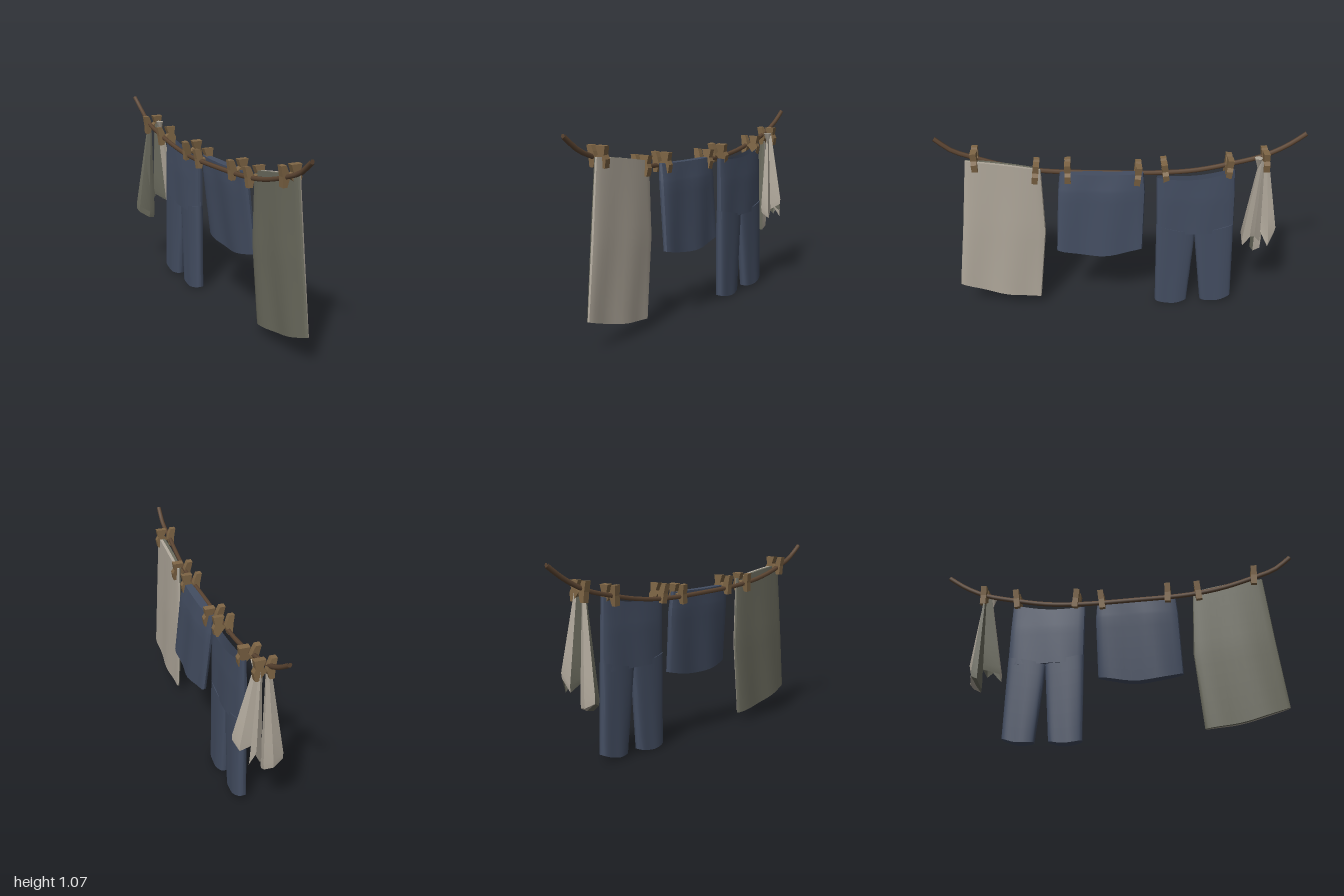
import * as THREE from 'three';
import { toCreasedNormals } from 'three/addons/utils/BufferGeometryUtils.js';

const material = (name, color, side = THREE.FrontSide) =>
  new THREE.MeshStandardMaterial({ name, color, side });

export function createModel() {
  const model = new THREE.Group();
  model.name = 'clothesline';
  const linen = material('light linen', 0xb0a89b);
  const lining = material('olive grey lining', 0x6a6a5d);
  const navy = material('navy cloth', 0x434d61, THREE.DoubleSide);
  const wood = material('peg wood', 0x7e6545);
  const hemp = material('rope brown', 0x5c4532);

  const add = (parent, name, geometry, mat) => {
    const mesh = new THREE.Mesh(geometry, mat);
    mesh.name = name;
    parent.add(mesh);
    return mesh;
  };

  // Skin a stack of equally long point rows, top row first
  const loft = (rows, flip = false, crease = 0.8) => {
    const n = rows[0].length, index = [];
    for (let j = 0; j < rows.length - 1; j++) {
      for (let i = 0; i < n - 1; i++) {
        const a = j * n + i, b = a + 1, c = a + n, d = c + 1;
        if (flip) index.push(a, d, c, a, b, d);
        else index.push(a, c, d, a, d, b);
      }
    }
    const g = new THREE.BufferGeometry();
    g.setAttribute('position', new THREE.Float32BufferAttribute(rows.flat(2), 3));
    g.setIndex(index);
    return toCreasedNormals(g, crease);
  };

  // Hanging cloth: rows of [z left, y left, z right, y right, x, half thickness, sag]
  const fabric = (name, keys, front, back, fold = 0.006, openTop = false) => {
    const group = new THREE.Group();
    group.name = name;
    const rows = [];
    if (!openTop) rows.push([...keys[0].slice(0, 5), 0, keys[0][6]]);
    const steps = 6;
    keys.forEach((k, j) => {
      if (j === keys.length - 1) return rows.push(k);
      for (let s = 0; s < steps; s++) {
        rows.push(k.map((v, m) => THREE.MathUtils.lerp(v, keys[j + 1][m], s / steps)));
      }
    });
    const last = keys[keys.length - 1];
    rows.push([...last.slice(0, 5), 0, last[6]]);
    const half = (side) => rows.map(([zl, yl, zr, yr, x, t, sag], r) => {
      const row = [];
      for (let i = 0; i <= 16; i++) {
        const a = Math.PI * (side > 0 ? i / 16 : 1 - i / 16);
        const u = 0.5 - 0.5 * Math.cos(a);
        const swell = Math.pow(Math.abs(Math.sin(a)), 0.5);
        const wave = fold * (r / rows.length) * Math.sin(u * 11 + r * 0.12);
        row.push([
          x + side * t * swell + wave,
          THREE.MathUtils.lerp(yl, yr, u) - sag * Math.sin(Math.PI * u),
          THREE.MathUtils.lerp(zl, zr, u),
        ]);
      }
      return row;
    });
    add(group, name + 'Front', loft(half(1)), front);
    add(group, name + 'Back', loft(half(-1)), back);
    model.add(group);
  };

  // Rope
  const ropePoints = [
    [1.06, 1], [0.99, 0.91], [0.945, 0.8], [0.89, 0.62], [0.857, 0.42], [0.838, 0.1],
    [0.83, -0.2], [0.843, -0.4], [0.878, -0.6], [0.92, -0.77], [0.985, -0.9], [1.05, -0.995],
  ].map(([y, z], i) => new THREE.Vector3(-0.035 + 0.003 * Math.sin(i * 2), y, z));
  const ropeCurve = new THREE.CatmullRomCurve3(ropePoints);
  add(model, 'rope', new THREE.TubeGeometry(ropeCurve, 40, 0.013, 6), hemp);
  for (const [i, turn] of [[0, -1], [ropePoints.length - 1, 1]]) {
    const end = add(model, 'ropeEnd', new THREE.CircleGeometry(0.013, 6), hemp);
    end.position.copy(ropePoints[i]);
    end.rotation.y = turn < 0 ? 0 : Math.PI;
  }

  // Towel
  fabric('towel', [
    [0.84, 0.952, 0.44, 0.89, 0.012, 0.018, -0.005],
    [0.885, 0.56, 0.43, 0.5, 0.015, 0.022, 0],
    [0.935, 0.165, 0.475, 0.06, 0.02, 0.016, 0.018],
  ], linen, lining);

  // Skirt
  fabric('skirt', [
    [0.34, 0.865, -0.115, 0.855, 0.008, 0.024, 0.004],
    [0.352, 0.76, -0.123, 0.75, 0.02, 0.032, 0],
    [0.37, 0.405, -0.11, 0.4, 0.052, 0.026, 0.036],
  ], navy, navy, 0.008);

  // Trousers: open waist and hips, then two legs
  fabric('trouserHips', [
    [-0.185, 0.835, -0.612, 0.868, 0.02, 0.026, 0.028],
    [-0.187, 0.7, -0.62, 0.7, 0.02, 0.032, 0],
    [-0.19, 0.48, -0.625, 0.48, 0.02, 0.033, 0],
  ], navy, navy, 0.004, true);
  fabric('leftLeg', [
    [-0.189, 0.53, -0.41, 0.48, 0.02, 0.032, 0],
    [-0.19, 0.02, -0.377, 0.02, 0.02, 0.033, 0.016],
  ], navy, navy, 0.002);
  fabric('rightLeg', [
    [-0.404, 0.48, -0.624, 0.53, 0.02, 0.032, 0],
    [-0.455, 0.02, -0.636, 0.045, 0.02, 0.033, 0.016],
  ], navy, navy, 0.002);

  // Gathered cloth: pleats fan out from a pinched top to a bottom outline
  const pleats = (bottom, [ax, ay, az], capped) => {
    const n = bottom.length;
    const mean = [0, 1, 2].map((k) => bottom.reduce((s, p) => s + p[k], 0) / n);
    const top = bottom.map(([x, , z]) =>
      [ax + (x - mean[0]) * 0.25, ay, az + (z - mean[2]) * 0.25]);
    const rows = [0, 0.3, 0.65, 0.93, 1].map((v, r) => bottom.map((p, i) => {
      const q = p.map((c, k) => THREE.MathUtils.lerp(top[i][k], c, v));
      if (r === 4) { q[0] -= (p[0] - mean[0]) * 0.1; q[2] -= (p[2] - mean[2]) * 0.1; }
      return q;
    }));
    if (capped) rows.push(bottom.map(() => mean));
    return rows;
  };
  const part = (rows, from, to) => rows.map((r) => r.slice(from, to));
  const gathered = new THREE.Group();
  gathered.name = 'gatheredCloth';
  model.add(gathered);

  const skirtEdge = [
    [0.02, 0.44, -0.665], [0.075, 0.41, -0.665], [0.06, 0.46, -0.715], [0.13, 0.5, -0.725],
    [0.1, 0.45, -0.765], [0.03, 0.48, -0.78], [0.07, 0.4, -0.825], [0.05, 0.48, -0.865],
    [0.01, 0.41, -0.84], [-0.015, 0.46, -0.77], [0.02, 0.44, -0.665],
  ];
  const fan = pleats(skirtEdge, [0.012, 0.92, -0.765], false);
  add(gathered, 'outerPleats', loft(part(fan, 0, 9), false, 0.5), linen);
  add(gathered, 'rearPleats', loft(part(fan, 8, 11), false, 0.5), lining);
  add(gathered, 'innerPleats', loft(fan, true, 0.5), lining);

  const tailEdge = [
    [-0.02, 0.31, -0.757], [-0.02, 0.33, -0.8], [-0.07, 0.34, -0.815], [-0.133, 0.37, -0.795],
    [-0.125, 0.355, -0.76], [-0.06, 0.315, -0.745], [-0.02, 0.31, -0.757],
  ];
  const tail = pleats(tailEdge, [-0.035, 0.88, -0.772], true);
  add(gathered, 'rearTail', loft(part(tail, 0, 4), false, 0.5), linen);
  add(gathered, 'rearTailLining', loft(part(tail, 3, 7), false, 0.5), lining);

  // Loose corner above the pinch
  const corner = add(gathered, 'looseCorner', new THREE.ConeGeometry(0.024, 0.07, 5), linen);
  corner.position.set(0.018, 0.9, -0.735);
  corner.rotation.x = Math.PI;

  // Clothes pegs: two splayed wooden jaws clamped over rope and cloth
  const jawGeometry = (outline) => {
    const shape = new THREE.Shape(outline.map(([x, y]) => new THREE.Vector2(x, y)));
    return new THREE.ExtrudeGeometry(shape, { depth: 0.033, bevelEnabled: false })
      .translate(0, 0, -0.0165);
  };
  const outerJaw = jawGeometry([
    [-0.058, -0.054], [-0.034, -0.054], [-0.02, -0.01], [-0.03, 0.025], [-0.042, 0.054],
    [-0.072, 0.054], [-0.062, 0.0],
  ]);
  const innerJaw = jawGeometry([
    [0.022, -0.054], [0.04, -0.054], [0.048, -0.01], [0.037, 0.01], [0.045, 0.054],
    [-0.015, 0.054], [0.0, 0.012], [-0.02, -0.005],
  ]);
  const pegs = [
    [0.79, 0.948, 0.03], [0.47, 0.868, -0.12], [0.297, 0.866, 0], [-0.083, 0.844, -0.12],
    [-0.232, 0.86, 0.12], [-0.58, 0.877, -0.1], [-0.778, 0.912, 0.05],
  ];
  for (const [z, y, tilt] of pegs) {
    const peg = new THREE.Group();
    peg.name = 'clothesPeg';
    add(peg, 'outerJaw', outerJaw, wood);
    add(peg, 'innerJaw', innerJaw, wood);
    peg.position.set(0, y, z);
    peg.rotation.x = tilt;
    model.add(peg);
  }
  return model;
}
